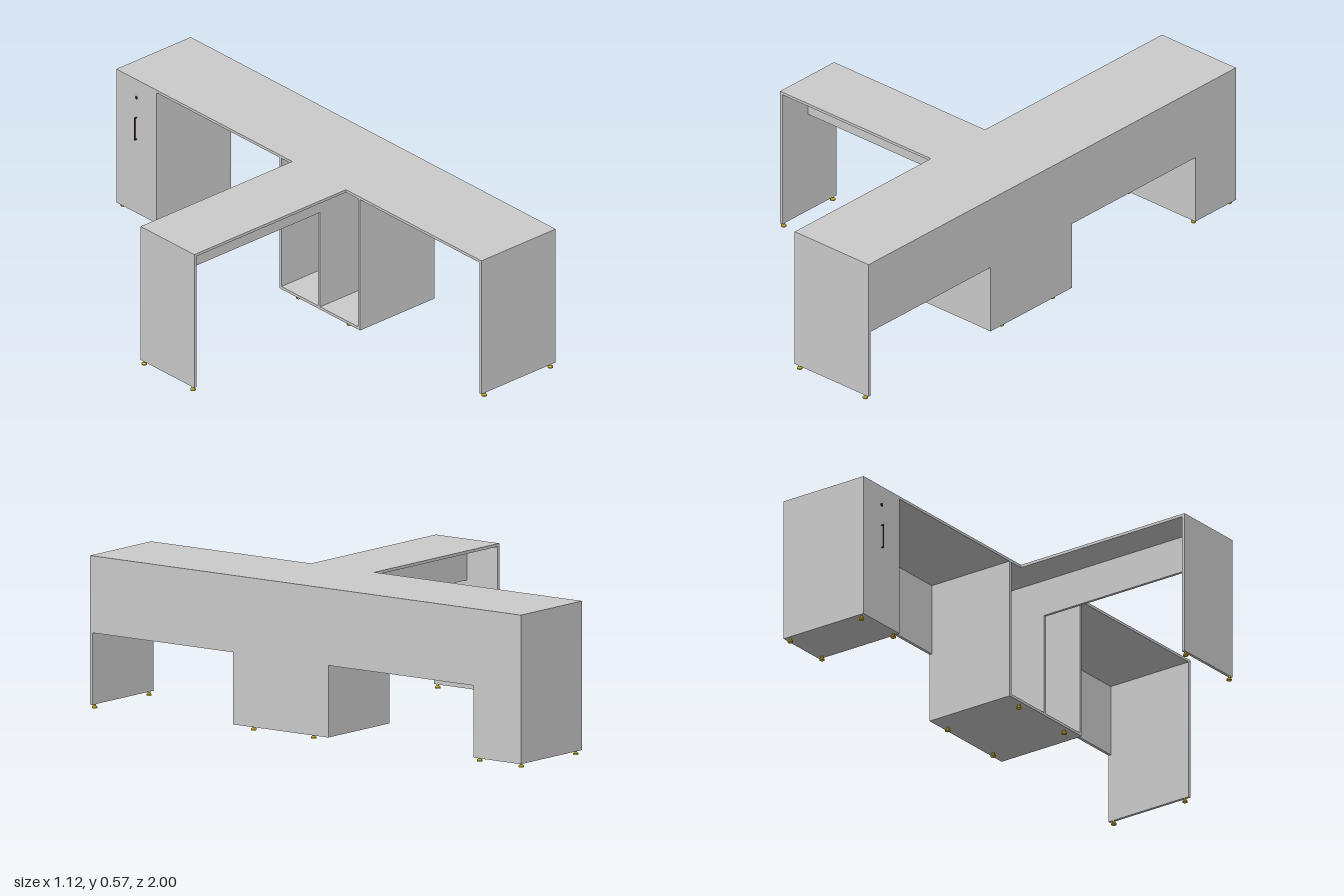
import * as THREE from 'three';

const T = 0.011;              // board thickness
const TOP = 0.569;            // desktop height
const BASE = 0.015;           // underside of the boards, on feet
const UNDER = TOP - T;        // underside of the desktop
const X0 = 0.192, X1 = 0.558; // main desk depth
const Z0 = -1, Z1 = 0.992;    // main desk length
const XB = X1 - T;            // inner face of the long back panel

const grey = new THREE.MeshStandardMaterial({ color: 0xcccccc });
const gold = new THREE.MeshStandardMaterial({ color: 0xc8b020 });
const darkRed = new THREE.MeshStandardMaterial({ color: 0x5a1414 });
const dark = new THREE.MeshStandardMaterial({ color: 0x333333 });

export function createModel() {
  const model = new THREE.Group();
  model.name = 'desk';

  const add = (name, geometry, material, parent = model) => {
    const mesh = new THREE.Mesh(geometry, material);
    mesh.name = name;
    parent.add(mesh);
    return mesh;
  };
  // Board given by its minimum and maximum corners
  const board = (name, [ax, bx], [ay, by], [az, bz], parent = model) =>
    add(name, new THREE.BoxGeometry(bx - ax, by - ay, bz - az), grey, parent)
      .position.set((ax + bx) / 2, (ay + by) / 2, (az + bz) / 2);

  // Main desk: top and open end panel
  board('mainTop', [X0, X1], [UNDER, TOP], [Z0, Z1]);
  board('endPanel', [X0, X1], [BASE, UNDER], [Z1 - T, Z1]);

  // Long panel with two knee notches, drawn as (-z, y) and turned to face +x
  const cab = [-0.11, 0.33], pedestal = [Z0, -0.78], notch = 0.283;
  const outline = [
    [Z1 - T, UNDER], [Z1 - T, notch], [cab[1], notch], [cab[1], BASE],
    [cab[0], BASE], [cab[0], notch], [pedestal[1], notch],
    [pedestal[1], BASE], [Z0, BASE], [Z0, UNDER],
  ].map(([z, y]) => new THREE.Vector2(-z, y));
  const panel = new THREE.ExtrudeGeometry(new THREE.Shape(outline), { depth: T, bevelEnabled: false });
  add('longPanel', panel.rotateY(Math.PI / 2).translate(XB, 0, 0), grey);

  // Open centre cabinet with a divider
  const centre = new THREE.Group();
  centre.name = 'centreCabinet';
  model.add(centre);
  const mid = 0.107;
  for (const [name, z] of [['sideBack', cab[0]], ['divider', mid - T / 2], ['sideFront', cab[1] - T]])
    board(name, [X0, XB], [BASE, UNDER], [z, z + T], centre);
  board('bottomBack', [X0, XB], [BASE, BASE + T], [cab[0] + T, mid - T / 2], centre);
  board('bottomFront', [X0, XB], [BASE, BASE + T], [mid + T / 2, cab[1] - T], centre);

  // Closed pedestal at the far end, with door, handle and lock
  const ped = new THREE.Group();
  ped.name = 'pedestal';
  model.add(ped);
  board('pedestalBody', [X0 + T, XB], [BASE, UNDER], pedestal, ped);
  board('pedestalDoor', [X0, X0 + T], [BASE, UNDER], pedestal, ped);
  const hz = -0.89, hx = 0.183, r = 0.0025;
  const handle = new THREE.CurvePath();
  const pts = [[X0, 0.322], [hx, 0.322], [hx, 0.411], [X0, 0.411]].map(([x, y]) => new THREE.Vector3(x, y, hz));
  for (let i = 0; i < 3; i++) handle.add(new THREE.LineCurve3(pts[i], pts[i + 1]));
  add('handle', new THREE.TubeGeometry(handle, 60, r, 8), darkRed, ped);
  const lock = add('lock', new THREE.CylinderGeometry(0.006, 0.006, 0.004, 16), dark, ped);
  lock.rotation.z = Math.PI / 2;
  lock.position.set(X0 - 0.001, 0.494, hz);

  // Side return: top, end panel and central apron
  const RX = -0.555, RZ = [-0.04, 0.253];
  board('returnTop', [RX, X0], [UNDER, TOP], RZ);
  board('returnEndPanel', [RX, RX + T], [BASE, UNDER], RZ);
  board('returnApron', [RX + T, X0], [0.418, UNDER], [mid - T / 2, mid + T / 2]);

  // Flared feet
  const footGeo = new THREE.LatheGeometry(
    [[0, 0], [0.01, 0], [0.01, 0.005], [0.005, 0.01], [0.005, BASE], [0, BASE]]
      .map(([x, y]) => new THREE.Vector2(x, y)), 16).toNonIndexed();
  footGeo.computeVertexNormals();
  const xs = [0.212, 0.537];
  const feet = [[RX + T / 2, -0.026], [RX + T / 2, 0.24]];
  for (const z of [Z1 - T / 2, 0.25, -0.026, -0.793, -0.986])
    for (const x of xs) feet.push([x, z]);
  for (const [x, z] of feet) add('foot', footGeo, gold).position.set(x, 0, z);

  return model;
}
